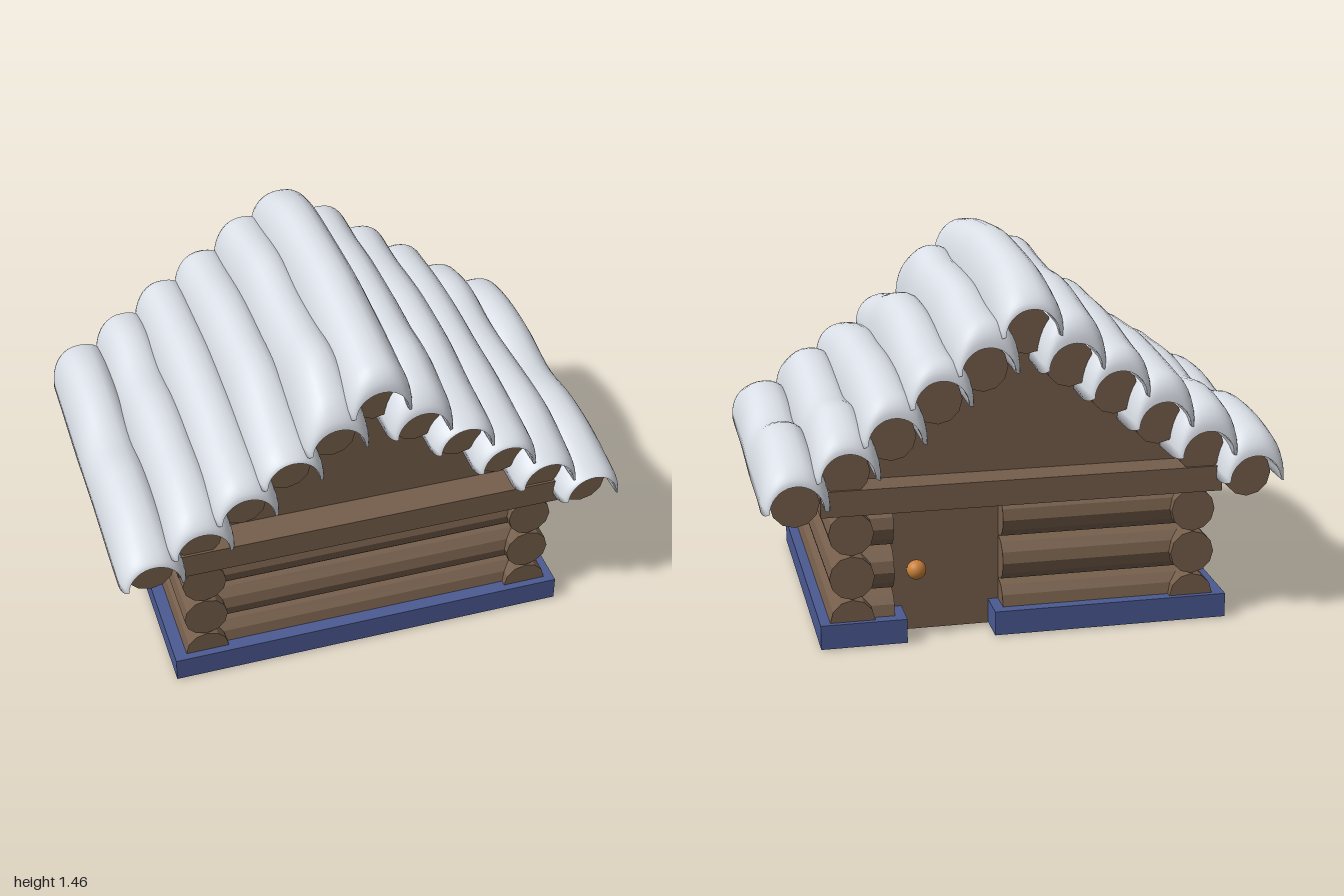
import * as THREE from 'three';

const mat = (name, color, flat = false) => {
  const m = new THREE.MeshStandardMaterial({ color, flatShading: flat });
  m.name = name;
  return m;
};

export function createModel() {
  const wood = mat('log brown', 0x755e4b, true);
  const snow = mat('snow white', 0xdde2ea);
  const blue = mat('base blue', 0x4b5a92, true);
  const navy = mat('dark navy', 0x1f2449, true);
  const red = mat('rug red', 0xbe322c, true);
  const amber = mat('amber', 0xc98038);

  const model = new THREE.Group();
  model.name = 'logCabin';

  const add = (name, geo, material, x = 0, y = 0, z = 0) => {
    const mesh = new THREE.Mesh(geo, material);
    mesh.name = name;
    mesh.position.set(x, y, z);
    model.add(mesh);
    return mesh;
  };
  const log = (name, axis, r, len, x, y, z) => {
    const g = new THREE.CylinderGeometry(r, r, len, 12);
    if (axis === 'z') g.rotateX(Math.PI / 2);
    else g.rotateZ(Math.PI / 2);
    return add(name, g, wood, x, y, z);
  };
  const polygon = (pts) => new THREE.Shape(pts.map(([x, y]) => new THREE.Vector2(x, y)));
  // upright slab from a floor plan given as [x, -z]
  const plan = (pts, height) =>
    new THREE.ExtrudeGeometry(polygon(pts), { depth: height, bevelEnabled: false }).rotateX(-Math.PI / 2);

  // base with a notch in front of the door
  const base = [
    [-0.8, -0.61], [0.79, -0.61], [0.79, 0.6], [0.46, 0.6],
    [0.46, 0.46], [0.12, 0.46], [0.12, 0.6], [-0.8, 0.6],
  ];
  add('base', plan(base, 0.096), blue, 0, 0.004, 0);

  // checked panel under the base
  add('rugBacking', new THREE.BoxGeometry(1.04, 0.006, 0.66), navy, -0.01, 0.005, -0.02);
  const step = 0.207, h = 0.085, c = 0.025;
  const tile = [
    [-h + c, -h], [h - c, -h], [h, -h + c], [h, h - c],
    [h - c, h], [-h + c, h], [-h, h - c], [-h, -h + c],
  ];
  for (let i = 0; i < 5; i++) {
    for (let j = 0; j < 3; j++) {
      const x = -0.01 + (i - 2) * step, z = -0.02 + (j - 1) * step;
      add('rugTile', plan(tile, 0.003), amber, x, 0.001, z);
      const half = (i + j) % 2
        ? [[-h + c, -h], [h - c, -h], [h, -h + c], [h, h - c]]
        : [[h, -h * 0.2], [h, h - c], [h - c, h], [-h + c, h], [-h, h - c]];
      add('rugPatch', plan(half, 0.003), red, x, 0, z);
    }
  }

  // log walls, the back one split by the doorway
  for (const y of [0.1, 0.275, 0.45]) {
    for (const s of [-1, 1]) log('sideWallLog', 'z', 0.086, 1.16, s * 0.665, y, 0);
    log('frontWallLog', 'x', 0.086, 1.33, 0, y, 0.47);
    log('backWallLog', 'x', 0.086, 0.745, -0.2925, y, -0.47);
    log('backWallShortLog', 'x', 0.086, 0.165, 0.5825, y, -0.47);
  }

  // door and knob
  add('door', new THREE.BoxGeometry(0.46, 0.53, 0.04), wood, 0.29, 0.266, -0.441);
  add('doorKnob', new THREE.SphereGeometry(0.038, 20, 14), amber, 0.405, 0.255, -0.49);

  // cross beams and gables
  for (const s of [-1, 1]) {
    add('crossBeam', new THREE.BoxGeometry(1.55, 0.1, 0.14), wood, 0.005, 0.58, s * 0.535);
  }
  const gable = polygon([[-0.72, 0.5], [0.72, 0.5], [0.72, 0.67], [0, 1.2], [-0.72, 0.67]]);
  const attic = new THREE.ExtrudeGeometry(gable, { depth: 0.96, bevelEnabled: false });
  add('gables', attic.translate(0, 0, -0.48), wood);

  // snow drift: an arch over a log, with its crest height varying along z
  const drift = (cx, cy, crest) => {
    const curve = new THREE.CatmullRomCurve3(
      crest.map((y, i) => new THREE.Vector3(0, y, -0.69 + i * 0.23)));
    const END = 0.695, ROUND = 0.075, RINGS = 44, OUT = 18, IN = 10;
    const n = OUT + IN + 2;
    const pos = [], idx = [];
    for (let i = 0; i <= RINGS; i++) {
      const t = i / RINGS;
      const z = -END * Math.cos(Math.PI * t) * (1 - 0.12 * Math.sin(Math.PI * t) ** 2);
      const u = Math.max(0, (Math.abs(z) - END + ROUND) / ROUND);
      const s = Math.sqrt(Math.max(0, 1 - u * u));
      const top = curve.getPoint(THREE.MathUtils.clamp((z + 0.69) / 1.38, 0, 1)).y - cy;
      const wave = 0.006 * Math.sin(z * 9 + cx * 7);
      for (let j = 0; j <= OUT; j++) {
        const a = Math.PI * j / OUT, co = Math.cos(a), si = Math.sin(a);
        const ox = 0.128 * Math.sign(co) * Math.abs(co) ** 0.85;
        const oy = -0.015 + wave + (top + 0.015) * si ** 0.9;
        const ix = 0.1 * co, iy = 0.1 * si;
        pos.push(cx + ix + (ox - ix) * s, cy + iy + (oy - iy) * s, z);
      }
      for (let j = 0; j <= IN; j++) {
        const a = Math.PI * (1 - j / IN);
        pos.push(cx + 0.1 * Math.cos(a), cy + 0.1 * Math.sin(a), z);
      }
      if (i === RINGS) continue;
      for (let j = 0; j < n; j++) {
        const k = (j + 1) % n, a = i * n, b = a + n;
        idx.push(a + j, a + k, b + k, a + j, b + k, b + j);
      }
    }
    const g = new THREE.BufferGeometry();
    g.setAttribute('position', new THREE.Float32BufferAttribute(pos, 3));
    g.setIndex(idx);
    g.computeVertexNormals();
    return g;
  };

  // roof logs with their snow, from ridge to eaves: x, y, crest heights back to front
  const rows = [
    [0, 1.205, [1.35, 1.42, 1.455, 1.46, 1.44, 1.425, 1.38]],
    [0.163, 1.07, [1.25, 1.275, 1.31, 1.305, 1.305, 1.32, 1.22]],
    [0.336, 0.955, [1.12, 1.14, 1.165, 1.18, 1.18, 1.115, 1.06]],
    [0.51, 0.825, [1.0, 1.03, 1.035, 1.035, 1.03, 0.99, 0.95]],
    [0.684, 0.7, [0.86, 0.91, 0.885, 0.905, 0.91, 0.9, 0.82]],
    [0.874, 0.59, [0.74, 0.79, 0.8, 0.745, 0.775, 0.775, 0.7]],
  ];
  for (const [x, y, crest] of rows) {
    for (const s of x === 0 ? [1] : [1, -1]) {
      log('roofLog', 'z', 0.093, 1.19, s * x, y, 0);
      add('roofSnow', drift(s * x, y, crest.map((v) => (s < 0 ? v + 0.02 : v))), snow);
    }
  }
  return model;
}
